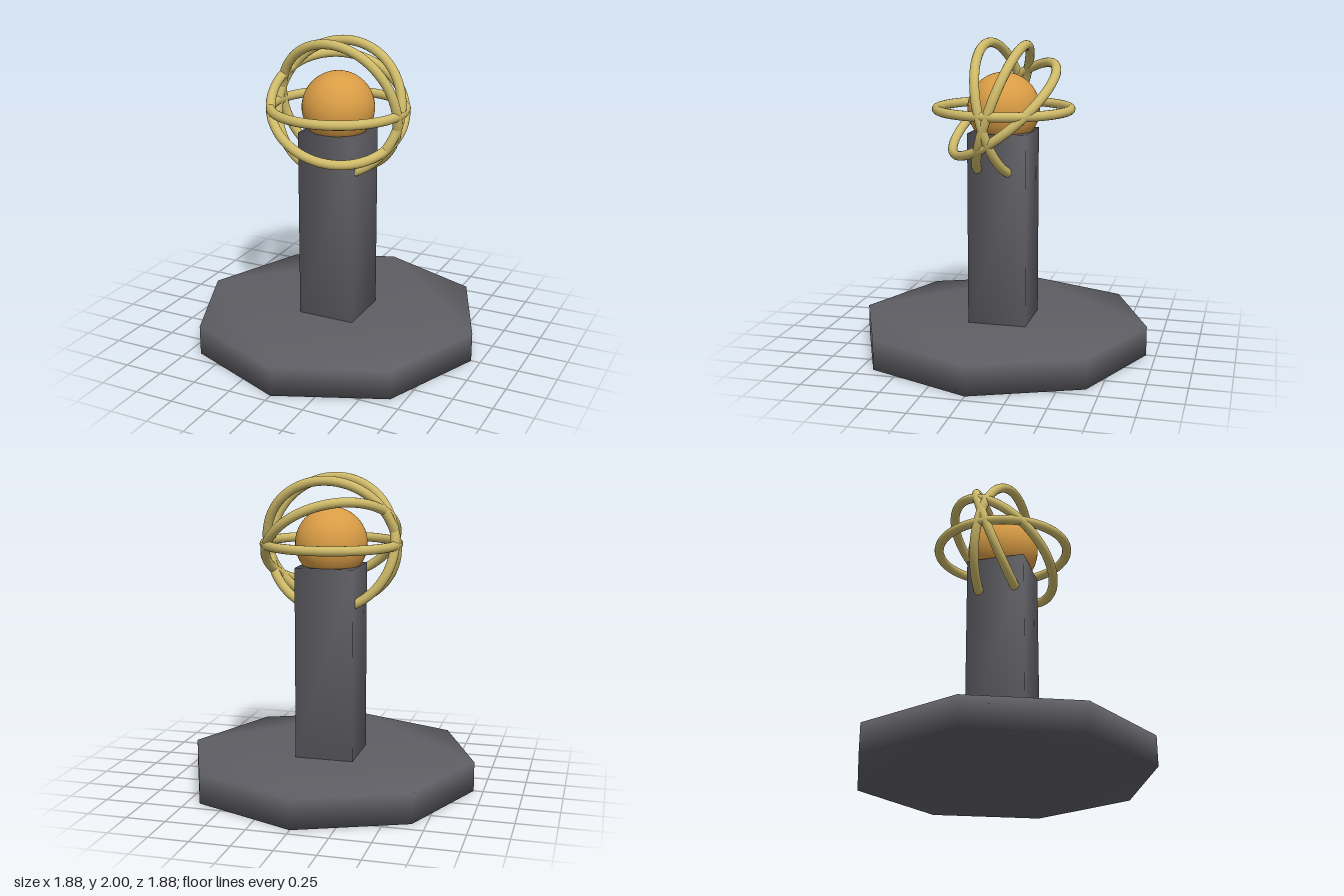
import * as THREE from 'three';
import { mergeVertices } from 'three/addons/utils/BufferGeometryUtils.js';

const mat = (name, color) => {
  const m = new THREE.MeshStandardMaterial({ color });
  m.name = name;
  return m;
};

// Share corner vertices so the shading rolls softly over the edges
function softened(geometry) {
  geometry.deleteAttribute('normal');
  geometry.deleteAttribute('uv');
  const merged = mergeVertices(geometry, 1e-4);
  merged.computeVertexNormals();
  return merged;
}

export function createModel() {
  const group = new THREE.Group();
  const stone = mat('dark stone', 0x5e5e64);
  const amber = mat('amber', 0xd99c45);
  const brass = mat('pale brass', 0xcdb968);

  const add = (name, geometry, material, y = 0) => {
    const mesh = new THREE.Mesh(geometry, material);
    mesh.name = name;
    mesh.position.y = y;
    group.add(mesh);
    return mesh;
  };

  // Octagonal plinth with corners on the x and z axes
  const corners = [];
  for (let i = 0; i < 8; i++) {
    const a = (i * Math.PI) / 4;
    corners.push(new THREE.Vector2(0.94 * Math.cos(a), 0.94 * Math.sin(a)));
  }
  const plinth = new THREE.ExtrudeGeometry(new THREE.Shape(corners), { depth: 0.19, bevelEnabled: false });
  plinth.rotateX(-Math.PI / 2);
  add('plinth', softened(plinth), stone);

  // Square column
  add('column', softened(new THREE.BoxGeometry(0.376, 1.23, 0.376)), stone, 0.805);

  // Globe resting in the top of the column
  const centre = 1.56;
  add('globe', new THREE.SphereGeometry(0.23, 40, 28), amber, centre);

  // Four rings around the globe, each given by the axis it turns about
  const rings = {
    horizonRing: [0, 1, 0],
    forwardRing: [-0.12, -0.23, 0.966],
    backwardRing: [0, 0.33, 0.944],
    slantedRing: [0.34, 0.75, 0.57],
  };
  const front = new THREE.Vector3(0, 0, 1);
  for (const [name, axis] of Object.entries(rings)) {
    const ring = add(name, new THREE.TorusGeometry(0.423, 0.03, 14, 72), brass, centre);
    ring.quaternion.setFromUnitVectors(front, new THREE.Vector3(...axis).normalize());
  }
  return group;
}
